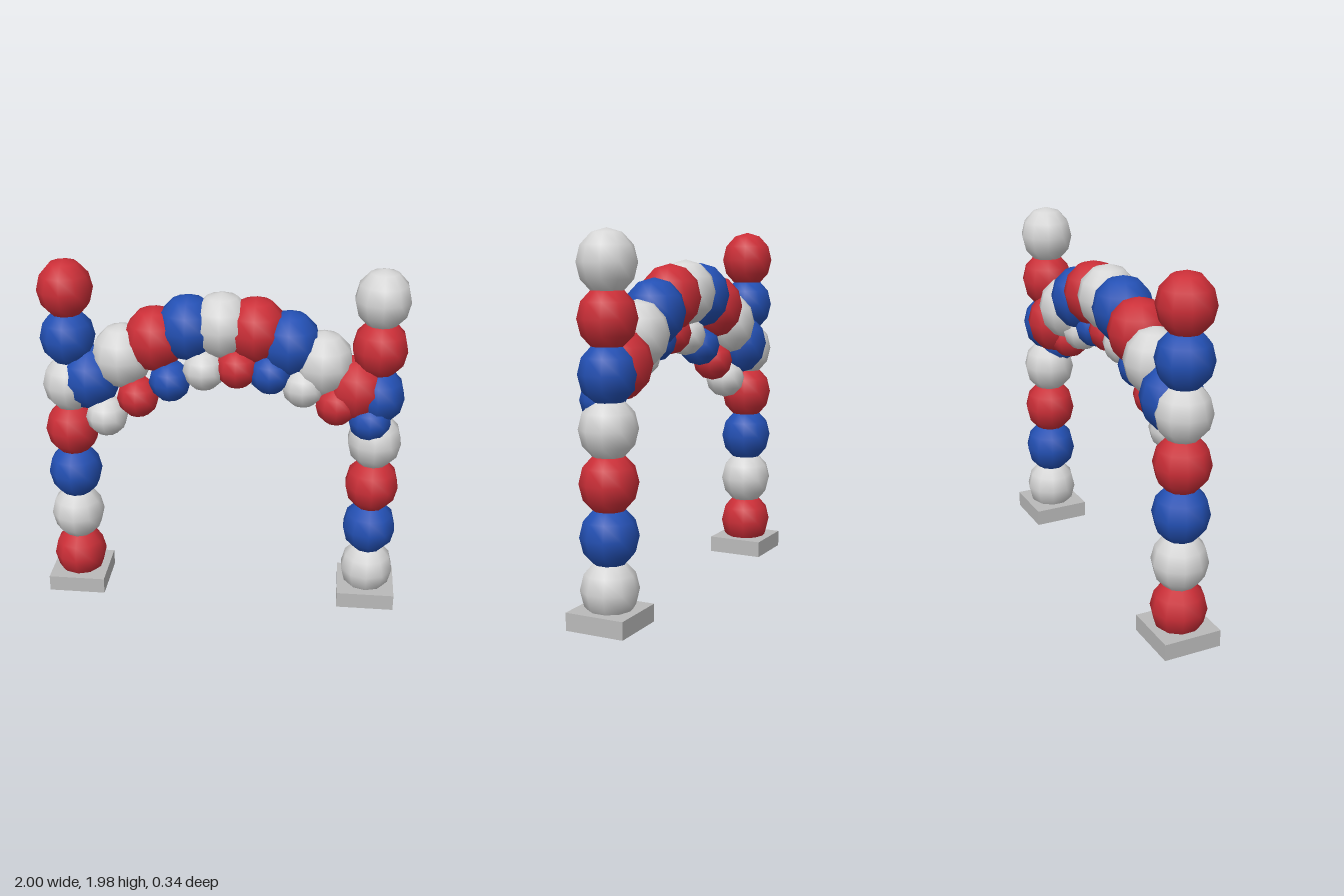
import * as THREE from 'three';

const material = (name, color) => {
  const m = new THREE.MeshStandardMaterial({ color });
  m.name = name;
  return m;
};

export function createModel() {
  const group = new THREE.Group();
  group.name = 'balloonArch';
  const red = material('red', 0xcb2e37);
  const white = material('white', 0xd6d6d6);
  const blue = material('blue', 0x2350b4);
  const grey = material('base grey', 0xbababa);
  const cycle = [red, white, blue];

  // Low-sided smooth balloon with a corner facing the front
  const balloonShape = new THREE.SphereGeometry(1, 10, 6).rotateY(Math.PI / 2);
  const addBalloon = (name, mat, x, y, z, radius, stretch) => {
    const mesh = new THREE.Mesh(balloonShape, mat);
    mesh.name = name;
    mesh.position.set(x, y, z);
    mesh.scale.set(radius, radius * stretch, radius);
    group.add(mesh);
  };

  // Two columns of seven balloons on square bases
  for (const [side, x, shift] of [['right', -0.84, 0], ['left', 0.84, 1]]) {
    const base = new THREE.Mesh(new THREE.BoxGeometry(0.323, 0.093, 0.323), grey);
    base.name = side + 'Base';
    base.position.set(Math.sign(x) * 0.8385, 0.0465, 0);
    group.add(base);
    for (let i = 0; i < 7; i++) {
      // the left column runs white, blue, red; the right one red, white, blue
      addBalloon(side + 'ColumnBalloon' + (i + 1), cycle[(i + shift) % 3], x, 0.192 + 0.27 * i, 0, 0.151, 1.09);
    }
  }

  // Large balloons of the arch, mirrored heights about the middle
  const heights = [1.64, 1.62, 1.55, 1.445, 1.31];
  for (let i = -4; i <= 4; i++) {
    addBalloon('archBalloon' + (i + 5), [blue, white, red][(i + 4) % 3], 0.181 * i, heights[Math.abs(i)], 0, 0.168, 1.07);
  }

  // Small balloons under the arch, set slightly forward
  const small = [
    [-0.632, 1.105], [-0.455, 1.226], [-0.277, 1.328], [-0.093, 1.4], [0.086, 1.42],
    [0.265, 1.395], [0.443, 1.325], [0.625, 1.228], [0.807, 1.14],
  ];
  small.forEach(([x, y], i) => {
    addBalloon('smallBalloon' + (i + 1), [white, red, blue][i % 3], x, y, 0.05, 0.117, 0.98);
  });

  return group;
}
